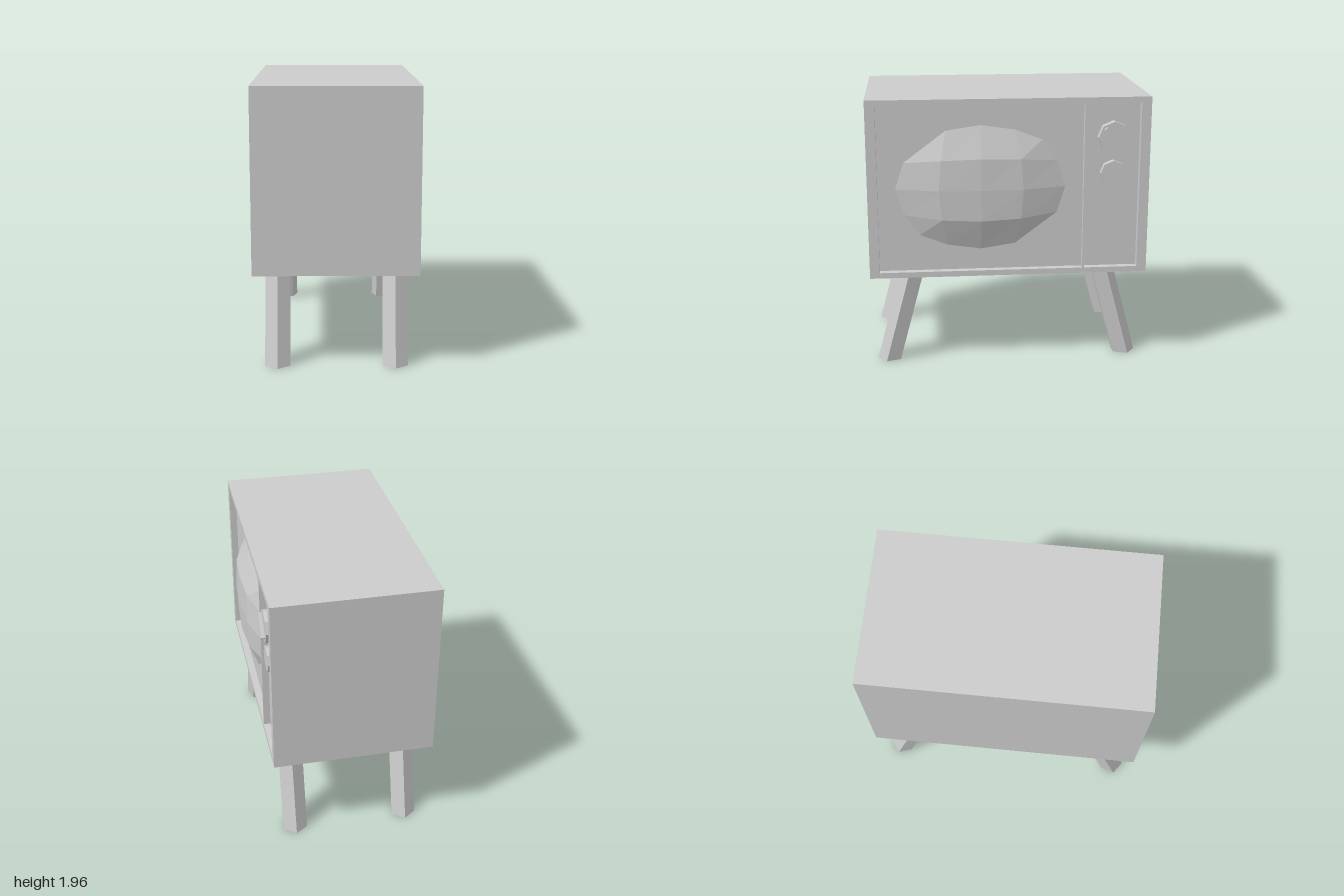
import * as THREE from 'three';

const FACE = 0.495; // x of the recessed front panel
const FRONT = 0.545; // x of the cabinet's front rim
const MID_Y = 1.3175;

const material = new THREE.MeshStandardMaterial({ color: 0xcccccc, flatShading: true });

function add(parent, name, geometry, x = 0, y = 0, z = 0) {
  const mesh = new THREE.Mesh(geometry, material);
  mesh.name = name;
  mesh.position.set(x, y, z);
  parent.add(mesh);
  return mesh;
}

// Flat-shaded geometry from a list of four-cornered faces
function fromQuads(quads) {
  const points = quads.flatMap(([a, b, c, d]) => [a, b, d, b, c, d]);
  const geometry = new THREE.BufferGeometry();
  geometry.setAttribute('position', new THREE.Float32BufferAttribute(points.flat(), 3));
  geometry.computeVertexNormals();
  return geometry;
}

// Box whose open front steps in to a recessed panel
function cabinetGeometry() {
  const rings = [[-0.6, 0.6425, 1], [FRONT, 0.6425, 1], [FRONT, 0.6025, 0.93], [FACE, 0.6025, 0.93]]
    .map(([x, h, w]) => [[1, 1], [-1, 1], [-1, -1], [1, -1]].map(([sy, sz]) => [x, sy * h, sz * w]));
  const quads = [[...rings[0]].reverse(), rings[3]];
  for (let r = 0; r < 3; r++) {
    for (let k = 0; k < 4; k++) {
      const n = (k + 1) % 4;
      quads.push([rings[r][k], rings[r][n], rings[r + 1][n], rings[r + 1][k]]);
    }
  }
  return fromQuads(quads);
}

// Bulging tube face: one quadrant of [x, y, z], mirrored to a 4 x 4 grid
function screenGeometry() {
  const quadrant = [
    [[0.59, 0, 0], [0.575, 0, 0.3], [FACE, 0, 0.605]],
    [[0.582, 0.225, 0], [0.566, 0.215, 0.28], [FACE, 0.19, 0.545]],
    [[FACE, 0.452, 0], [FACE, 0.415, 0.245], [FACE, 0.34, 0.437]],
  ];
  const at = (r, c) => {
    const [x, y, z] = quadrant[Math.abs(r)][Math.abs(c)];
    return [x, Math.sign(r) * y, Math.sign(c) * z];
  };
  const quads = [];
  for (let r = 2; r > -2; r--) {
    for (let c = 2; c > -2; c--) {
      quads.push([at(r, c), at(r - 1, c), at(r - 1, c - 1), at(r, c - 1)]);
    }
  }
  return fromQuads(quads);
}

// Five-sided leg, sheared so both ends stay level
function legGeometry() {
  const height = 0.675;
  const geometry = new THREE.CylinderGeometry(0.092, 0.092, height, 5);
  geometry.translate(0, height / 2, 0);
  const p = geometry.attributes.position;
  for (let i = 0; i < p.count; i++) p.setZ(i, p.getZ(i) - 0.18 * p.getY(i) / height);
  geometry.computeVertexNormals();
  return geometry;
}

// Eight-sided knob standing out from the panel
function addKnob(parent, name, radius, depth, y) {
  const geometry = new THREE.CylinderGeometry(radius, radius, depth, 8);
  geometry.rotateZ(-Math.PI / 2);
  return add(parent, name, geometry, FACE + depth / 2, y, -0.742);
}

export function createModel() {
  const model = new THREE.Group();
  model.name = 'television';

  add(model, 'cabinet', cabinetGeometry(), 0, MID_Y, 0);
  add(model, 'screen', screenGeometry(), 0, 1.317, 0.2);
  add(model, 'panelDivider', new THREE.BoxGeometry(0.048, 1.205, 0.016), FACE + 0.024, MID_Y, -0.538);

  // Controls
  addKnob(model, 'channelKnob', 0.115, 0.055, 1.672);
  addKnob(model, 'volumeKnob', 0.092, 0.045, 1.412);
  const grip = add(model, 'channelKnobGrip', new THREE.BoxGeometry(0.04, 0.18, 0.028), 0.556, 1.677, -0.739);
  grip.rotation.x = Math.PI / 4;

  // Splayed legs, mirrored across the cabinet
  const leg = legGeometry();
  for (const [x, end] of [[0.387, 'front'], [-0.435, 'back']]) {
    for (const side of [1, -1]) {
      const mesh = add(model, `${end}Leg`, leg, x, 0, side * 0.873);
      if (side < 0) mesh.rotation.y = Math.PI;
    }
  }
  return model;
}
